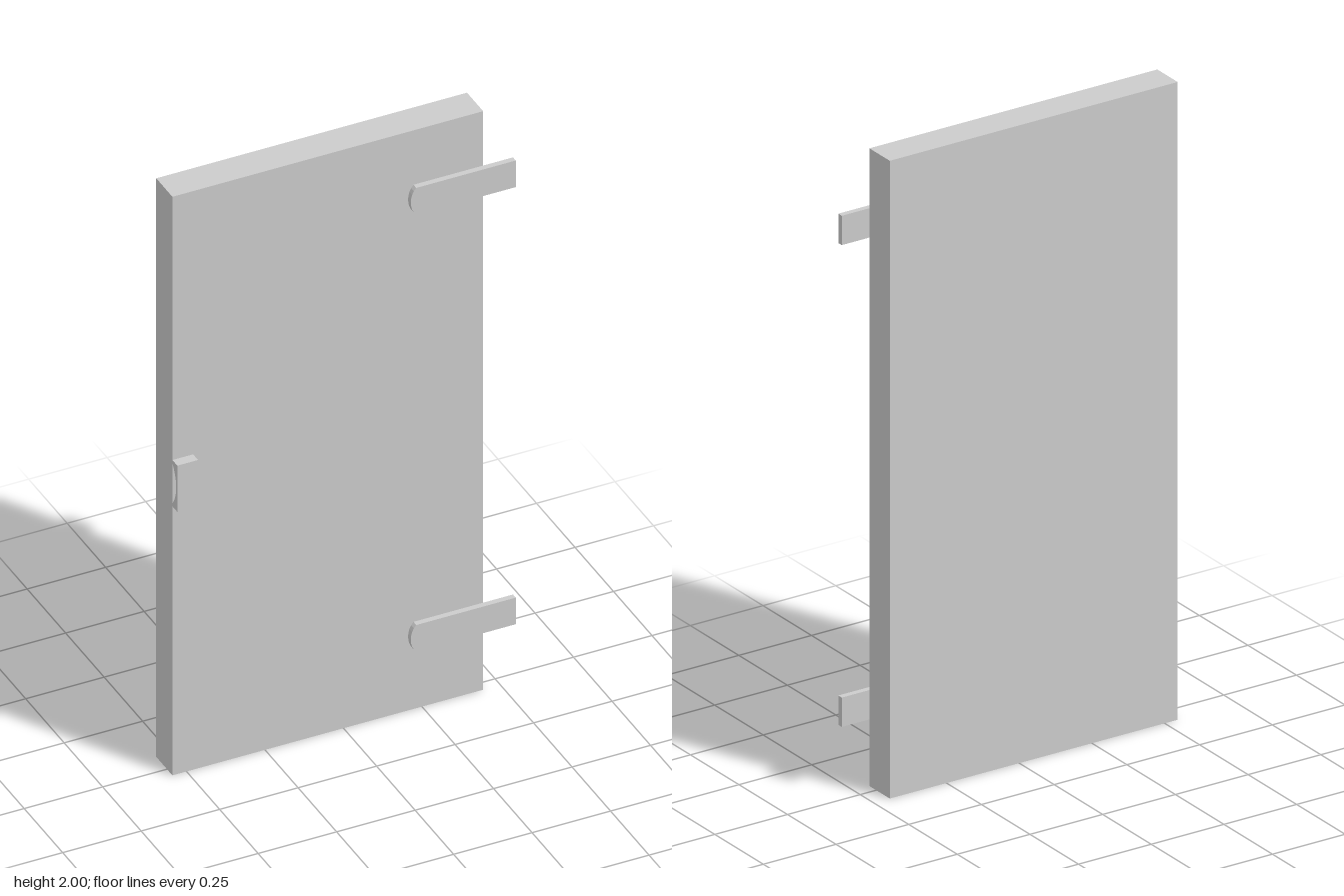
import * as THREE from 'three';

const material = new THREE.MeshStandardMaterial({ color: 0xcccccc, flatShading: true, side: THREE.DoubleSide });
const FRONT = 0.035; // front plane of the door panel

function addPart(group, name, geometry) {
  const mesh = new THREE.Mesh(geometry, material);
  mesh.name = name;
  group.add(mesh);
  return mesh;
}

// flat strap with a rounded inner end, centred on y = 0
function hingeGeometry() {
  const h = 0.046;
  const shape = new THREE.Shape();
  shape.moveTo(0.54, -h);
  shape.lineTo(0.54, h);
  shape.lineTo(0.223, h);
  shape.bezierCurveTo(0.2, 0.025, 0.2, -0.025, 0.223, -h);
  shape.closePath();
  return new THREE.ExtrudeGeometry(shape, { depth: 0.018, bevelEnabled: false, curveSegments: 8 });
}

// pull handle: side profile (x = depth, y = height) with an arched finger gap
function handleGeometry() {
  const depth = 0.032, h = 0.08;
  const shape = new THREE.Shape();
  shape.moveTo(0, -h);
  shape.lineTo(depth, -h);
  shape.lineTo(depth, h);
  shape.lineTo(0, h);
  shape.lineTo(0, 0.07);
  shape.quadraticCurveTo(0.05, 0, 0, -0.07);
  shape.closePath();
  const geometry = new THREE.ExtrudeGeometry(shape, { depth: 0.066, bevelEnabled: false, curveSegments: 10 });
  return geometry.rotateY(-Math.PI / 2);
}

export function createModel() {
  const group = new THREE.Group();
  group.name = 'door';

  // door panel
  addPart(group, 'panel', new THREE.BoxGeometry(0.99, 2, 0.105)).position.set(-0.05, 1, FRONT - 0.0525);

  // strap hinges reaching past the left edge
  for (const [name, y] of [['upperHinge', 1.766], ['lowerHinge', 0.255]]) {
    addPart(group, name, hingeGeometry()).position.set(0, y, FRONT);
  }

  // pull handle on the opening edge
  addPart(group, 'handle', handleGeometry()).position.set(-0.479, 1.01, FRONT);

  return group;
}
